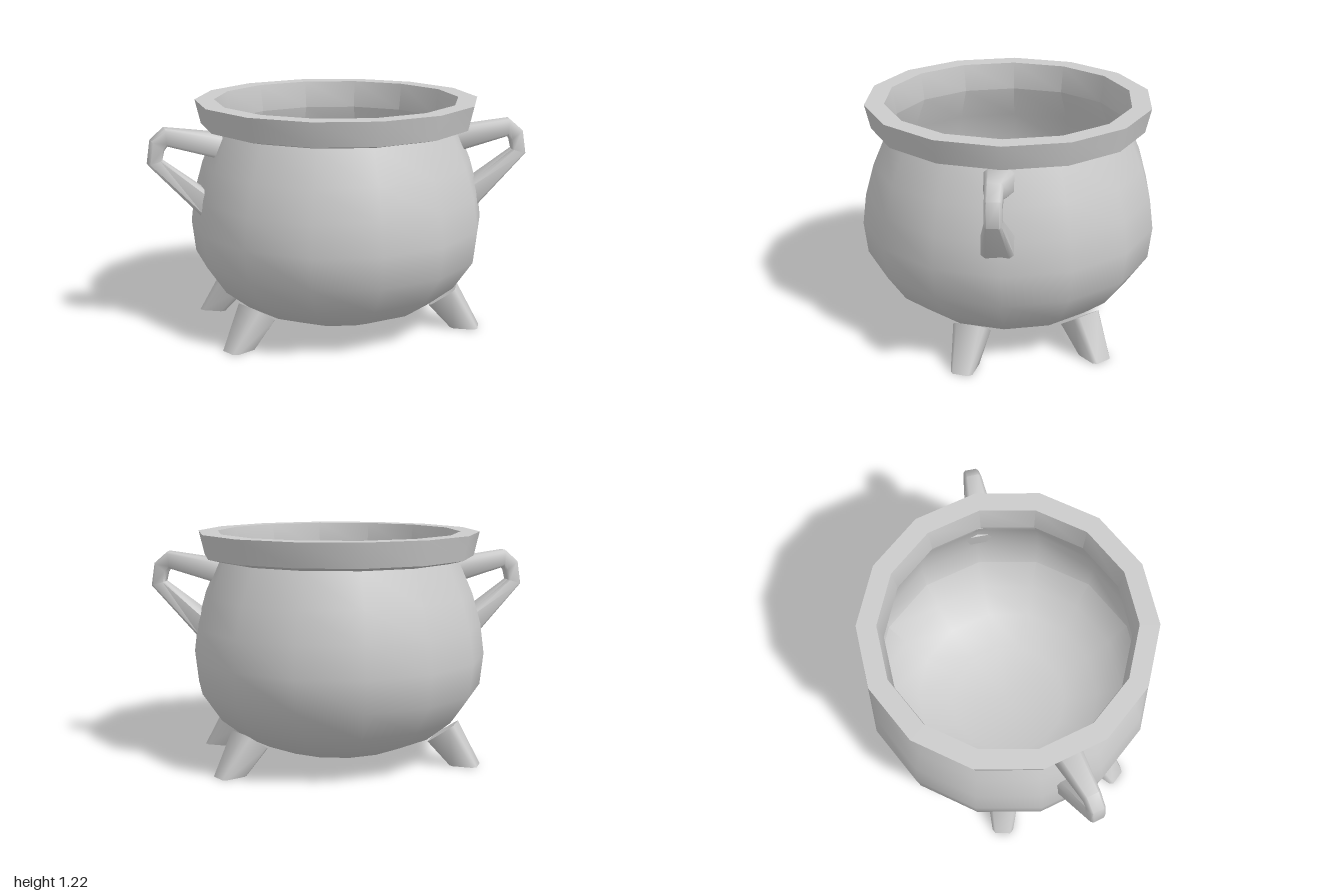
import * as THREE from 'three';
import { toCreasedNormals } from 'three/addons/utils/BufferGeometryUtils.js';

const CENTRE_X = 0.013;
const material = new THREE.MeshStandardMaterial({ color: 0xcccccc });
const V = (x, y, z) => new THREE.Vector3(x, y, z);

function part(name, geometry, crease) {
  const mesh = new THREE.Mesh(toCreasedNormals(geometry, crease), material);
  mesh.name = name;
  mesh.position.x = CENTRE_X;
  return mesh;
}

// Square with cut corners, counter-clockwise, as shares of the half sizes
const C = 0.72;
const SECTION = [[1, -C], [1, C], [C, 1], [-C, 1], [-1, C], [-1, -C], [-C, -1], [C, -1]];

// The section placed round a centre, at right angles to dir
function ring(centre, dir, side, halfSide, halfOther) {
  const other = dir.clone().cross(side).normalize();
  return SECTION.map(([u, v]) => centre.clone()
    .addScaledVector(side, u * halfSide)
    .addScaledVector(other, v * halfOther));
}

// Closed skin through a list of rings, with a cap on each end
function loft(rings) {
  const n = rings[0].length;
  const index = [];
  for (let r = 0; r < rings.length - 1; r++) {
    for (let i = 0; i < n; i++) {
      const a = r * n + i, b = r * n + ((i + 1) % n);
      index.push(a, b, b + n, a, b + n, a + n);
    }
  }
  const last = (rings.length - 1) * n;
  for (let i = 1; i < n - 1; i++) {
    index.push(0, i + 1, i, last, last + i, last + i + 1);
  }
  const geometry = new THREE.BufferGeometry().setFromPoints(rings.flat());
  geometry.setIndex(index);
  return geometry;
}

// Handle in the xy plane, its ends lying along the wall of the pot:
// x, y, half height, half width, tilt
function handleGeometry() {
  const stations = [
    [0.648, 1.007, 0.062, 0.074, 0.37],
    [0.915, 1.063, 0.046, 0.044, -0.1],
    [0.959, 1.02, 0.042, 0.041, -0.9],
    [0.974, 0.935, 0.038, 0.041, -1.85],
    [0.738, 0.714, 0.068, 0.082, -2.95],
  ];
  return loft(stations.map(([x, y, halfHeight, halfWidth, tilt]) => ring(
    V(x, y, 0), V(Math.cos(tilt), Math.sin(tilt), 0), V(0, 0, 1), halfWidth, halfHeight)));
}

// Splayed leg: square-cut at the top, cut level with the ground at the foot
function legGeometry(sx, sz) {
  const foot = V(sx * 0.622, 0, sz * 0.337);
  const top = V(sx * 0.515, 0.174, sz * 0.282);
  const dir = top.clone().sub(foot).normalize();
  const side = V(0, 1, 0).cross(dir).normalize();
  const sole = ring(foot, dir, side, 0.058, 0.06);
  sole.forEach((p) => p.addScaledVector(dir, -p.y / dir.y));
  return loft([sole, ring(top, dir, side, 0.084, 0.084)]);
}

export function createModel() {
  const group = new THREE.Group();

  // Pot: outer belly, flared rim, then a thin inner wall following the belly
  const belly = [
    [0.34, 0.066], [0.53, 0.142], [0.662, 0.247], [0.765, 0.398],
    [0.784, 0.567], [0.763, 0.73], [0.717, 0.893], [0.638, 1.075],
  ];
  const rim = [[0.72, 1.095], [0.75, 1.222], [0.648, 1.222]];
  const inside = belly.map(([r, y]) => [r - 0.012, y + (y < 0.3 ? 0.012 : 0)]).reverse();
  const profile = [[0, 0.066], ...belly, ...rim, ...inside, [0, 0.078]]
    .map(([r, y]) => new THREE.Vector2(r, y));
  group.add(part('pot', new THREE.LatheGeometry(profile, 14), 0.65));

  // Handles: the left one is turned slightly towards the front
  for (const [name, angle] of [['leftHandle', -0.25], ['rightHandle', Math.PI]]) {
    const handle = part(name, handleGeometry(), 0.95);
    handle.rotation.y = angle;
    group.add(handle);
  }

  // Four legs
  for (const sx of [1, -1]) {
    for (const sz of [1, -1]) {
      const name = (sz > 0 ? 'front' : 'back') + (sx > 0 ? 'Left' : 'Right') + 'Leg';
      group.add(part(name, legGeometry(sx, sz), 0.95));
    }
  }
  return group;
}
